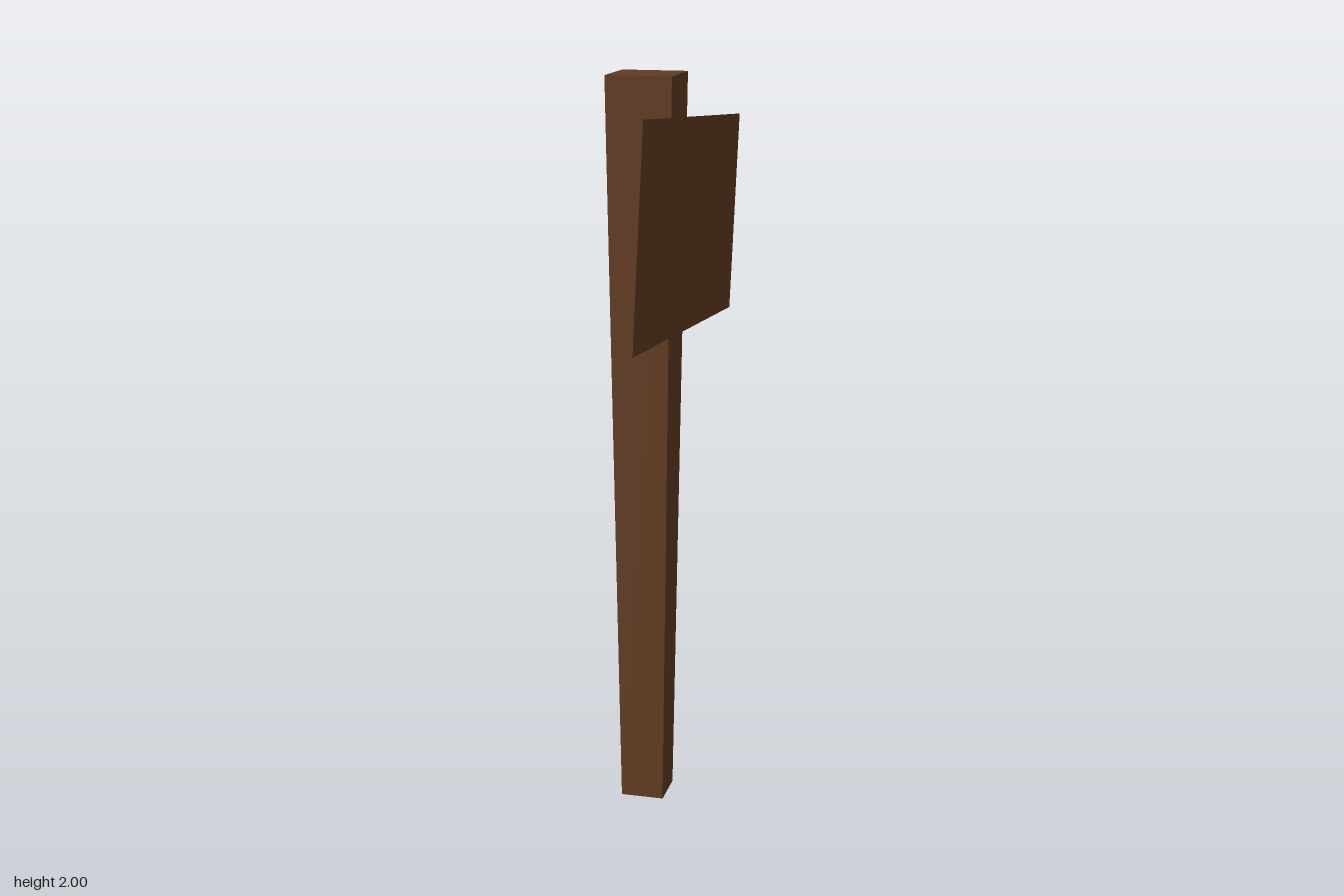
import * as THREE from 'three';

export function createModel() {
  const model = new THREE.Group();
  const wood = new THREE.MeshStandardMaterial({ color: 0x613c22, flatShading: true, side: THREE.DoubleSide });
  wood.name = 'brown wood';

  // Square post, wider at the top than at the foot
  const postHeight = 2, topHalf = 0.088, footHalf = 0.059;
  const postGeometry = new THREE.CylinderGeometry(
    topHalf * Math.SQRT2, footHalf * Math.SQRT2, postHeight, 4
  ).rotateY(Math.PI / 4);
  const post = new THREE.Mesh(postGeometry, wood);
  post.name = 'post';
  post.position.set(-0.02, postHeight / 2, 0);
  model.add(post);

  // Thin sign board: hung crooked, leaning slightly outward, facing +x
  const boardGeometry = new THREE.PlaneGeometry(1.11, 0.554)
    .rotateZ(-0.088)
    .rotateX(0.025)
    .rotateY(Math.PI / 2);
  const board = new THREE.Mesh(boardGeometry, wood);
  board.name = 'signBoard';
  board.position.set(0.099, 1.615, 0);
  model.add(board);

  return model;
}
